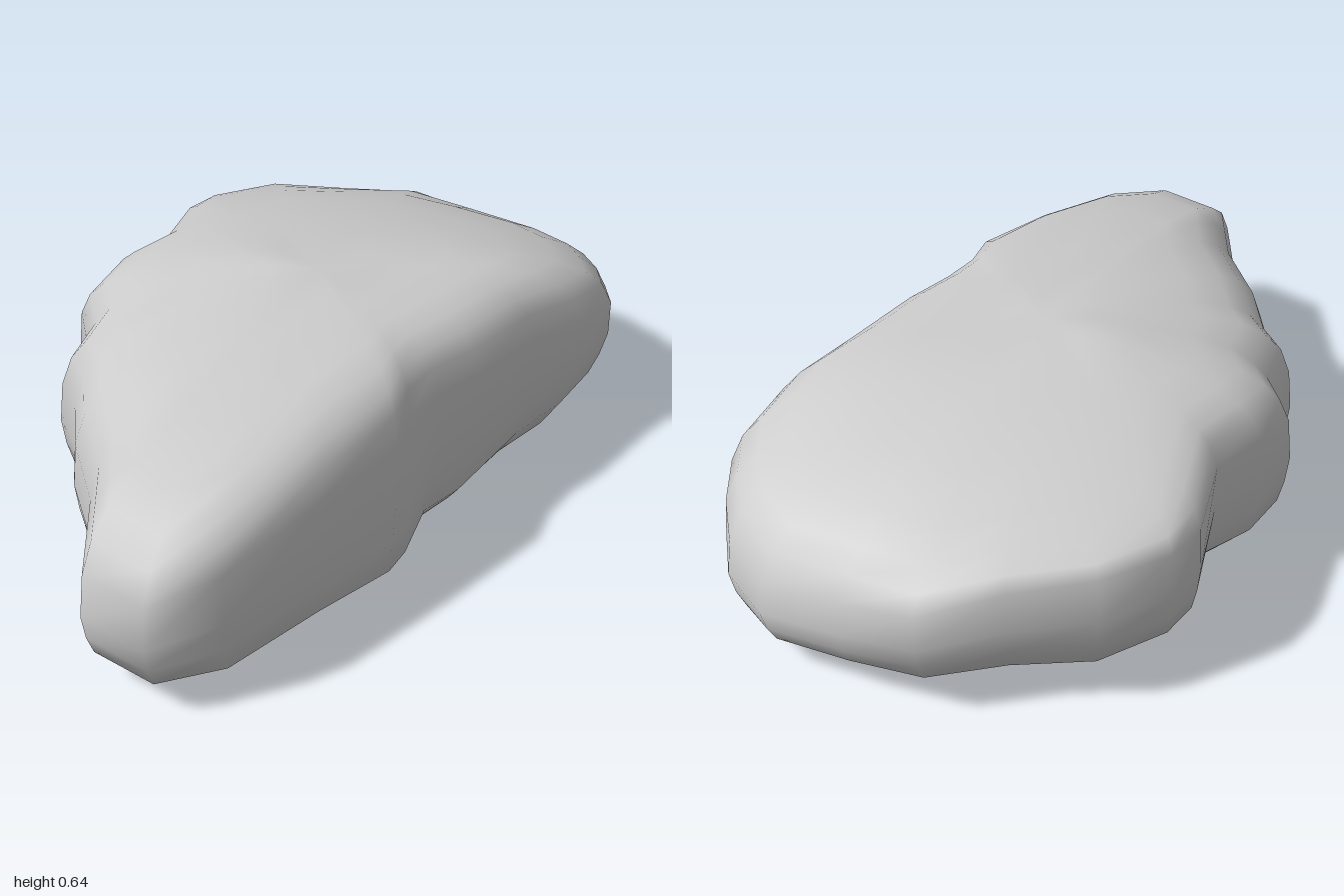
import * as THREE from 'three';

const { lerp, clamp } = THREE.MathUtils;

// Plan outline, anticlockwise seen from above:
// x, z, height of the wall's shoulder, rise of its foot above the underside, inset of the foot
const OUTLINE = [
  [-1, .29, .37, .03, 0], [-.99, .48, .37, .03, .01], [-.82, .57, .41, .05, .01], [-.5, .59, .45, .05, .02],
  [-.23, .6, .47, .04, 0], [-.12, .555, .48, .03, -.03], [0, .545, .48, .08, .03], [.15, .56, .47, .06, .05],
  [.4, .555, .45, .1, .02], [.6, .575, .42, .11, .03], [.78, .545, .38, .1, .03], [.88, .46, .35, .06, .01],
  [.96, .36, .32, .03, 0], [1, .2, .29, .03, 0], [.95, -.02, .32, .04, 0], [.9, -.23, .36, .04, .02],
  [.73, -.37, .4, .04, .02], [.57, -.53, .43, .03, 0], [.38, -.605, .43, .03, 0], [.26, -.595, .43, .03, .01],
  [.06, -.49, .45, .05, .04], [-.11, -.5, .45, .05, 0], [-.27, -.475, .41, .05, 0], [-.35, -.37, .39, .05, .02],
  [-.5, -.31, .37, .04, 0], [-.55, -.21, .37, .04, .01], [-.67, -.08, .38, .04, 0], [-.8, .11, .38, .03, .02],
  [-.91, .21, .38, .03, .01],
];
const CENTRE = [.05, .1];

// Heights of crown and underside on a coarse grid: one row for each x, one column for each z
const GRID_X = [-1, -.75, -.35, 0, .43, .7, 1];
const CROWN = {
  z: [-.5, -.3, 0, .3, .6],
  rows: [
    [.5, .5, .54, .55, .55], [.5, .55, .58, .58, .57], [.54, .57, .61, .63, .65], [.6, .6, .65, .635, .65],
    [.5, .55, .585, .615, .63], [.47, .48, .52, .54, .57], [.42, .44, .46, .48, .5],
  ],
};
const BASE = {
  z: [-.6, -.45, -.25, .12, .38, .6],
  rows: [
    [.1, .1, .1, .09, .08, .08], [.1, .1, .08, .06, .03, .04], [.1, .09, .06, .055, .03, .03],
    [.12, .09, .01, .05, 0, .02], [.14, .1, .08, .055, .04, .05], [.15, .11, .09, .06, .04, .05],
    [.15, .12, .1, .07, .07, .08],
  ],
};

// Rings given as [radius share, rise]: underside to foot, foot to shoulder, shoulder to crown
const UNDERSIDE_RINGS = [[.25, 0], [.5, 0], [.72, .05], [.87, .4], [.96, 1]];
const WALL_RINGS = [[.985, .25], [1, .55], [.985, 1]];
const CROWN_RINGS = [[.945, .4], [.88, .65], [.78, .85], [.62, .96], [.4, 1], [.2, 1]];

// Cell number and fraction of v within rising stations
function locate(stations, v) {
  let i = 0;
  while (i < stations.length - 2 && v > stations[i + 1]) i++;
  return [i, clamp((v - stations[i]) / (stations[i + 1] - stations[i]), 0, 1)];
}

function heightAt(field, x, z) {
  const [i, u] = locate(GRID_X, x), [j, v] = locate(field.z, z);
  const [a, b] = [field.rows[i], field.rows[i + 1]];
  return lerp(lerp(a[j], a[j + 1], v), lerp(b[j], b[j + 1], v), u);
}

function rockGeometry() {
  const n = OUTLINE.length, pos = [], index = [];

  // Adds one ring whose height follows a rule
  function addRing(share, insetShare, height) {
    for (const [ox, oz, shoulder, rise, inset] of OUTLINE) {
      const s = share - inset * insetShare;
      const x = lerp(CENTRE[0], ox, s), z = lerp(CENTRE[1], oz, s);
      pos.push(x, height(x, z, shoulder, heightAt(BASE, ox, oz) + rise), z);
    }
  }
  for (const [s, t] of UNDERSIDE_RINGS) {
    addRing(s, t, (x, z, shoulder, foot) => lerp(heightAt(BASE, x, z), foot, t));
  }
  for (const [s, t] of WALL_RINGS) addRing(s, 1 - t, (x, z, shoulder, foot) => lerp(foot, shoulder, t));
  for (const [s, t] of CROWN_RINGS) addRing(s, 0, (x, z, shoulder) => lerp(shoulder, heightAt(CROWN, x, z), t));

  // Skin between the rings
  const last = pos.length / 3 - n;
  for (let j = 0; j < last; j += n) {
    for (let i = 0; i < n; i++) {
      const a = j + i, b = j + (i + 1) % n;
      index.push(a, b, b + n, a, b + n, a + n);
    }
  }

  // Underside and crown caps
  const bottom = last + n, top = bottom + 1;
  for (const field of [BASE, CROWN]) pos.push(CENTRE[0], heightAt(field, ...CENTRE), CENTRE[1]);
  for (let i = 0; i < n; i++) {
    const next = (i + 1) % n;
    index.push(bottom, next, i, top, last + i, last + next);
  }

  const geometry = new THREE.BufferGeometry();
  geometry.setAttribute('position', new THREE.Float32BufferAttribute(pos, 3));
  geometry.setIndex(index);
  geometry.computeBoundingBox();
  geometry.translate(0, -geometry.boundingBox.min.y, 0);
  geometry.computeVertexNormals();
  return geometry;
}

export function createModel() {
  const group = new THREE.Group();
  const rock = new THREE.Mesh(rockGeometry(), new THREE.MeshStandardMaterial({ color: 0xcccccc }));
  rock.name = 'rock';
  group.add(rock);
  return group;
}
